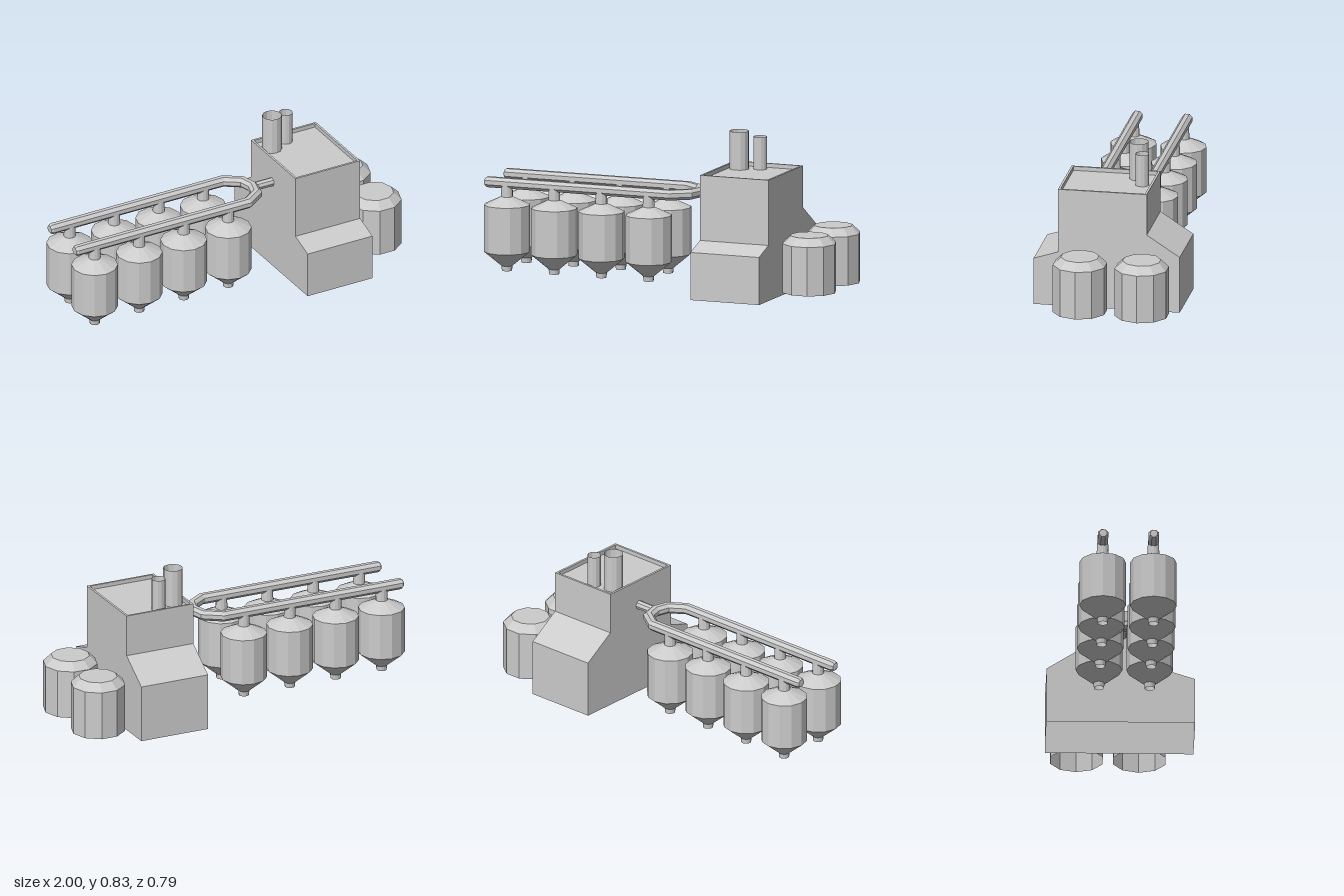
import * as THREE from 'three';

const material = new THREE.MeshStandardMaterial({
  color: 0xcccccc, flatShading: true, side: THREE.DoubleSide,
});

function add(parent, name, geometry, x = 0, y = 0, z = 0) {
  const mesh = new THREE.Mesh(geometry, material);
  mesh.name = name;
  mesh.position.set(x, y, z);
  parent.add(mesh);
  return mesh;
}

// Faceted turned shape from [radius, height] points
function lathe(points, sides) {
  return new THREE.LatheGeometry(points.map(([r, y]) => new THREE.Vector2(r, y)), sides, Math.PI / 2);
}

// Four-cornered panels, each given counter-clockwise from outside
function panels(quads) {
  const pos = quads.flatMap(([a, b, c, d]) => [a, b, c, a, c, d].flat());
  const geometry = new THREE.BufferGeometry();
  geometry.setAttribute('position', new THREE.Float32BufferAttribute(pos, 3));
  geometry.computeVertexNormals();
  return geometry;
}

// Mitred pipe along a level path of [x, z, radius] points
function mitredPipe(path, sides) {
  const pts = path.map(([x, z]) => new THREE.Vector2(x, z));
  const rings = path.map(([x, z, r], i) => {
    const before = pts[i].clone().sub(pts[Math.max(i - 1, 0)]).normalize();
    const after = pts[Math.min(i + 1, pts.length - 1)].clone().sub(pts[i]).normalize();
    const dir = before.clone().add(after).normalize();
    const stretch = 1 / Math.max(dir.dot(after), dir.dot(before));
    return Array.from({ length: sides }, (_, k) => {
      const a = ((k + 0.5) / sides) * Math.PI * 2;
      const side = r * Math.cos(a) * stretch;
      return [x - dir.y * side, r * Math.sin(a), z + dir.x * side];
    });
  });
  const quads = [];
  for (let i = 0; i < rings.length - 1; i++) {
    for (let k = 0; k < sides; k++) {
      const n = (k + 1) % sides;
      quads.push([rings[i][k], rings[i + 1][k], rings[i + 1][n], rings[i][n]]);
    }
  }
  return panels(quads);
}

function createBuilding() {
  const building = new THREE.Group();
  building.name = 'building';
  const x0 = 0.285, x1 = 0.68, top = 0.652;
  const front = [[0.395, 0], [0.395, 0.257], [0.263, 0.3], [0.263, top]];
  const back = [[-0.217, top], [-0.217, 0.425], [-0.395, 0.31], [-0.395, 0]];

  // Front and back faces with their sloped steps; the base is open
  const strip = (line) => line.slice(1).map(([z, y], i) => {
    const [pz, py] = line[i];
    return [[x0, py, pz], [x1, py, pz], [x1, y, z], [x0, y, z]];
  });
  add(building, 'frontAndBackWalls', panels([...strip(front), ...strip(back)]));

  // Side walls
  const profile = new THREE.Shape([...front, ...back].map(([z, y]) => new THREE.Vector2(z, y)));
  add(building, 'rightWall', new THREE.ShapeGeometry(profile).rotateY(-Math.PI / 2), x0);
  add(building, 'leftWall', new THREE.ShapeGeometry(profile).rotateY(-Math.PI / 2), x1);

  // Parapet rim and sunken roof
  const rim = 0.012, floor = 0.63;
  const rect = (inset, y) => [
    [x0 + inset, y, 0.263 - inset], [x1 - inset, y, 0.263 - inset],
    [x1 - inset, y, -0.217 + inset], [x0 + inset, y, -0.217 + inset],
  ];
  const outer = rect(0, top), inner = rect(rim, top), deck = rect(rim, floor);
  const ring = (a, b) => a.map((p, i) => [p, a[(i + 1) % 4], b[(i + 1) % 4], b[i]]);
  add(building, 'parapet', panels([...ring(outer, inner), ...ring(inner, deck)]));
  add(building, 'roof', panels([deck]));

  // Open chimneys: x, z, radius, top
  for (const [x, z, r, y] of [[0.355, -0.114, 0.052, 0.835], [0.46, -0.152, 0.037, 0.805]]) {
    add(building, 'chimney', lathe([[r, floor], [r, y]], 12), x, 0, z);
  }
  return building;
}

export function createModel() {
  const model = new THREE.Group();
  model.name = 'processingPlant';
  model.add(createBuilding());

  // Two rows of hopper silos, each with a neck up to its pipe
  const silo = lathe([[0.027, 0.038], [0.03, 0.065], [0.124, 0.143], [0.124, 0.395],
    [0.032, 0.438], [0.03, 0.5]], 12);
  const pipeY = 0.51, rowZ = [-0.125, 0.145];
  for (const z of rowZ) {
    for (let i = 0; i < 4; i++) add(model, 'silo', silo, -0.874 + i * 0.2717, 0, z);
  }

  // U-shaped feed pipe with chamfered closed ends
  const r = 0.03;
  const half = [[-0.998, -0.135, 0], [-0.997, -0.135, 0.021], [-0.985, -0.135, r],
    [0.06, -0.135, r], [0.148, -0.075, r]];
  const path = [...half, [0.168, 0, r], ...half.map(([x, z, q]) => [x, -z, q]).reverse()];
  add(model, 'feedPipe', mitredPipe(path, 8), 0, pipeY, 0.01);
  add(model, 'pipeConnector', new THREE.CylinderGeometry(0.024, 0.024, 0.12, 8, 1, true)
    .rotateZ(Math.PI / 2), 0.23, pipeY, 0.01);

  // Storage tanks beside the building, open underneath
  const tank = lathe([[0.146, 0.037], [0.146, 0.301], [0.103, 0.343], [0, 0.343]], 10);
  for (const z of [0.112, -0.222]) add(model, 'storageTank', tank, 0.852, 0, z);

  return model;
}
